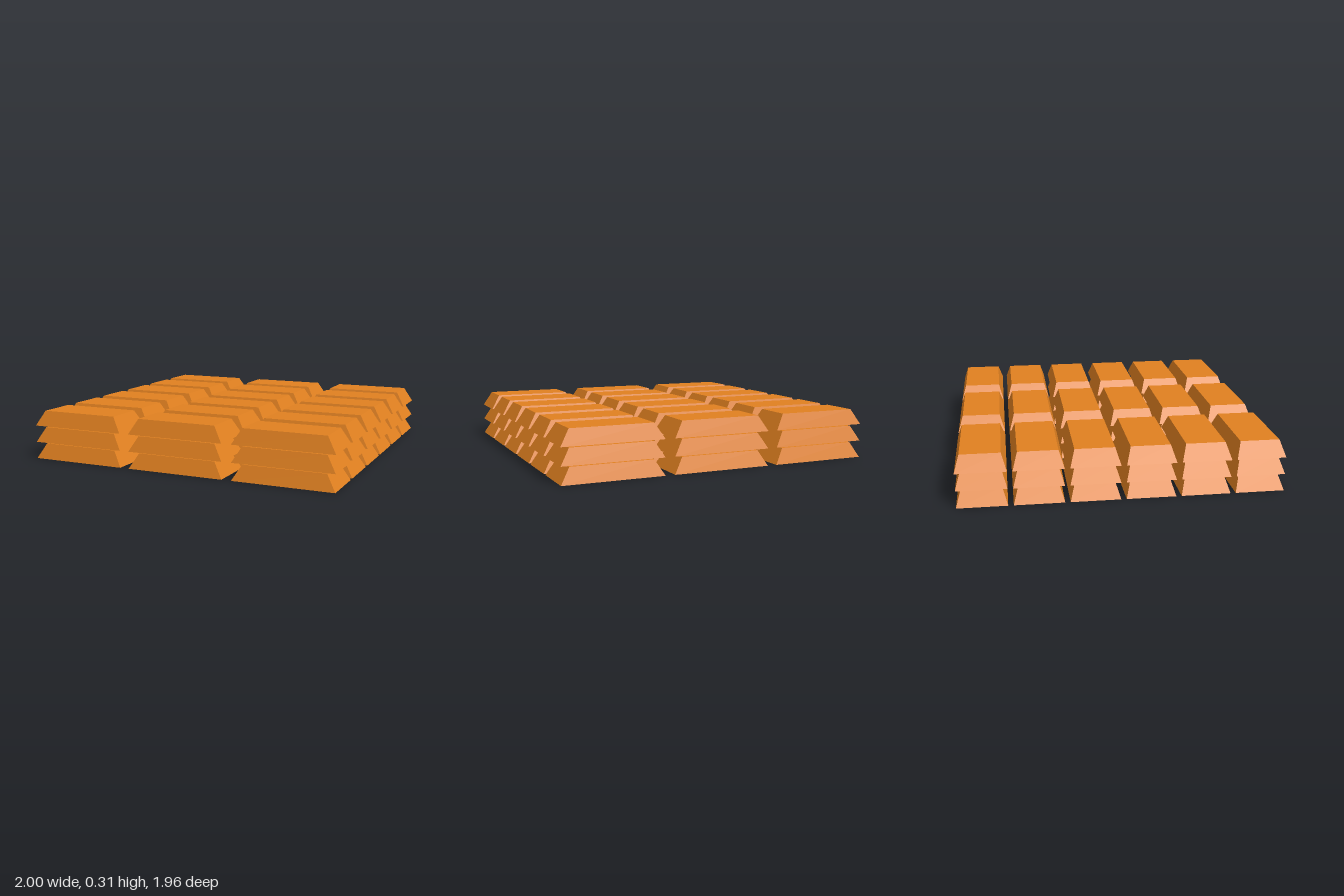
import * as THREE from 'three';

const LENGTH = 0.626, WIDTH = 0.3, HEIGHT = 0.096;
const TOP_LENGTH = 0.51, TOP_WIDTH = 0.24;

// Ingot: a box whose upper corners are drawn inwards
function ingotGeometry() {
  const box = new THREE.BoxGeometry(LENGTH, HEIGHT, WIDTH);
  box.translate(0, HEIGHT / 2, 0);
  const p = box.attributes.position;
  for (let i = 0; i < p.count; i++) {
    if (p.getY(i) > HEIGHT / 2) {
      p.setX(i, Math.sign(p.getX(i)) * TOP_LENGTH / 2);
      p.setZ(i, Math.sign(p.getZ(i)) * TOP_WIDTH / 2);
    }
  }
  box.computeVertexNormals();
  return box;
}

export function createModel() {
  const model = new THREE.Group();
  model.name = 'ingotStack';
  const material = new THREE.MeshStandardMaterial({ color: 0xe08020, flatShading: true });
  const geometry = ingotGeometry();

  // Three layers, each three columns by six rows
  for (let layer = 0; layer < 3; layer++) {
    const group = new THREE.Group();
    group.name = `layer${layer + 1}`;
    group.position.y = layer * 0.107;
    for (let column = 0; column < 3; column++) {
      for (let row = 0; row < 6; row++) {
        const ingot = new THREE.Mesh(geometry, material);
        ingot.name = `ingotColumn${column + 1}Row${row + 1}`;
        ingot.position.set((column - 1) * 0.687, 0, (row - 2.5) * 0.332);
        group.add(ingot);
      }
    }
    model.add(group);
  }
  return model;
}
